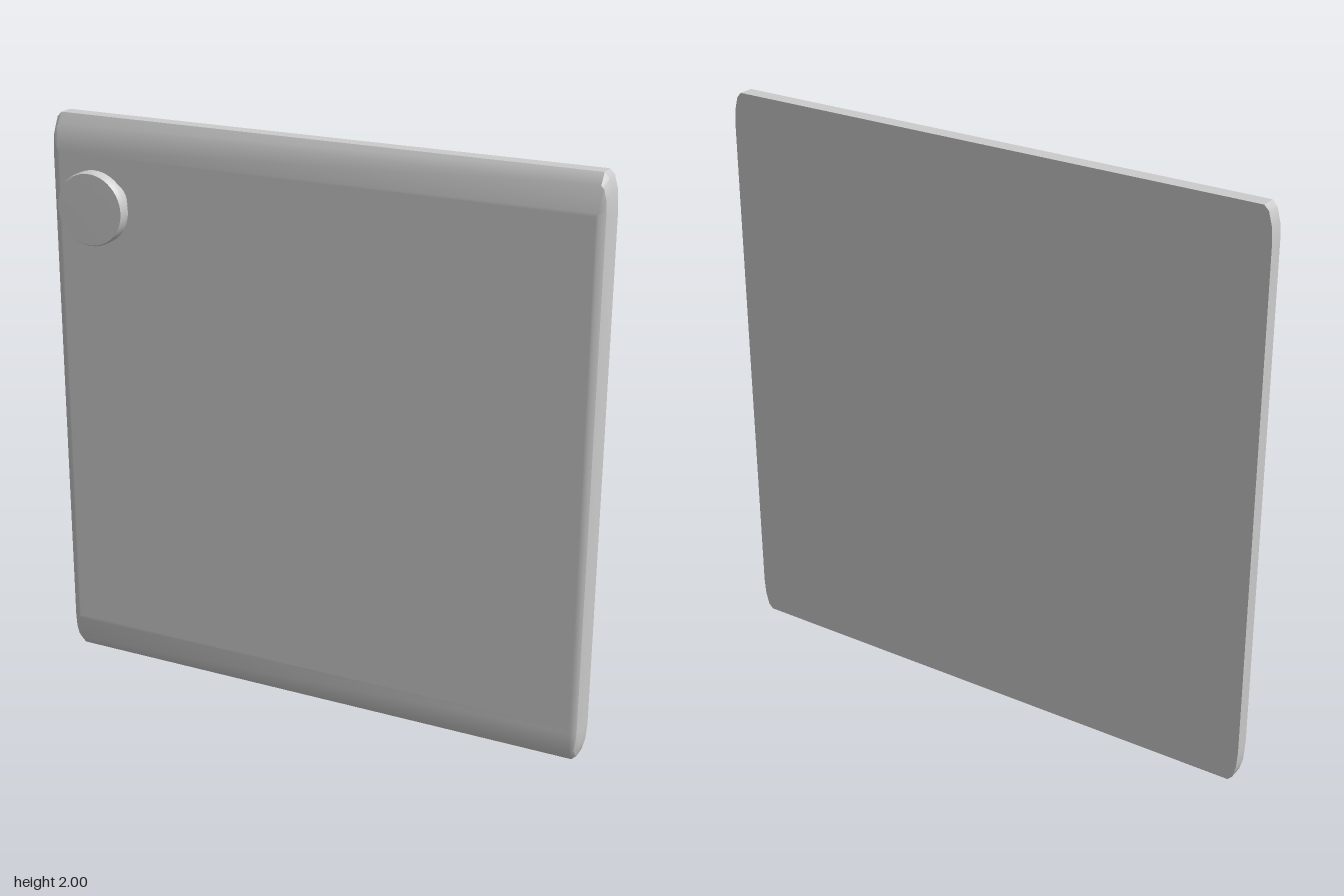
import * as THREE from 'three';
import { toCreasedNormals } from 'three/addons/utils/BufferGeometryUtils.js';

const material = new THREE.MeshStandardMaterial({ color: 0xcccccc });
const HALF_W = 0.987, HALF_H = 1, CORNER_X = 0.032, CORNER_Y = 0.12, STEPS = 3;

// Rounded-rectangle loop, counter-clockwise from the front, shrunk by the insets
function outline(z, insetX, insetY) {
  const rx = Math.max(CORNER_X - insetX, 0.001), ry = Math.max(CORNER_Y - insetY, 0.001);
  const points = [];
  for (let corner = 0; corner < 4; corner++) {
    const sx = corner === 0 || corner === 3 ? 1 : -1, sy = corner < 2 ? 1 : -1;
    for (let s = 0; s <= STEPS; s++) {
      const a = (corner + s / STEPS) * Math.PI / 2;
      points.push([
        sx * (HALF_W - insetX - rx) + rx * Math.cos(a),
        sy * (HALF_H - insetY - ry) + ry * Math.sin(a) + HALF_H, z]);
    }
  }
  return points;
}

// Door slab: straight sides, then a soft bevel towards the front face
function doorGeometry() {
  const levels = [
    [-0.11, 0, 0], [-0.058, 0, 0], [-0.032, 0.011, 0.036],
    [-0.021, 0.031, 0.119], [-0.021, 0.04, 0.13],
  ];
  const loops = levels.map(l => outline(...l));
  const n = loops[0].length, index = [];
  const positions = loops.flat(2);
  for (let k = 0; k < loops.length - 1; k++) {
    for (let i = 0; i < n; i++) {
      const j = (i + 1) % n, a = k * n + i, b = k * n + j;
      index.push(a, b, b + n, a, b + n, a + n);
    }
  }
  // Back and front caps
  const back = loops.length * n, front = back + 1, last = (loops.length - 1) * n;
  positions.push(0, HALF_H, -0.11, 0, HALF_H, -0.021);
  for (let i = 0; i < n; i++) {
    const j = (i + 1) % n;
    index.push(back, j, i, front, last + i, last + j);
  }
  const geometry = new THREE.BufferGeometry();
  geometry.setAttribute('position', new THREE.Float32BufferAttribute(positions, 3));
  geometry.setIndex(index);
  return toCreasedNormals(geometry, 0.53);
}

// Turned knob: stem, flared collar and flat round head
function knobGeometry() {
  const profile = [
    [0.068, -0.03], [0.068, 0.028], [0.072, 0.034], [0.086, 0.039], [0.097, 0.049], [0.104, 0.064],
    [0.12, 0.064], [0.125, 0.069], [0.125, 0.103], [0.121, 0.109], [0, 0.11],
  ].map(([r, y]) => new THREE.Vector2(r, y));
  const geometry = new THREE.LatheGeometry(profile, 48);
  geometry.rotateX(Math.PI / 2);
  return toCreasedNormals(geometry, 0.6);
}

export function createModel() {
  const model = new THREE.Group();
  model.name = 'cabinetDoor';

  const door = new THREE.Mesh(doorGeometry(), material);
  door.name = 'doorPanel';

  const knob = new THREE.Mesh(knobGeometry(), material);
  knob.name = 'knob';
  knob.position.set(-0.753, 1.723, 0);

  model.add(door, knob);
  return model;
}
